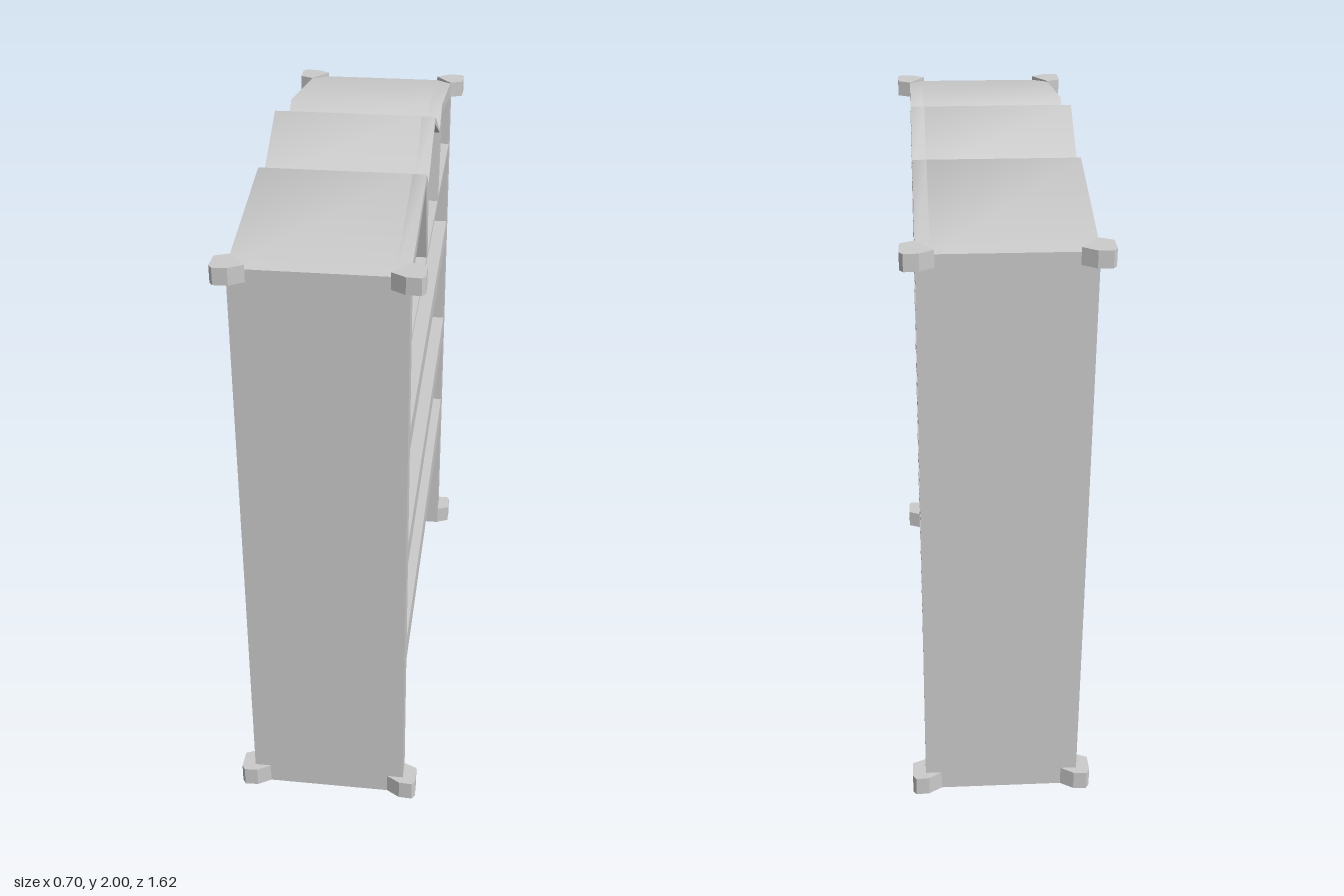
import * as THREE from 'three';
import { toCreasedNormals } from 'three/addons/utils/BufferGeometryUtils.js';

const HALF_W = 0.766, HALF_D = 0.24, WALL = 0.064, BACK = 0.05;
const INNER = HALF_W - WALL;
const PEDIMENT_Y = 1.635, RECESS = 0.04;

const toPoints = list => list.map(([x, y]) => new THREE.Vector2(x, y));

export function createModel() {
  const material = new THREE.MeshStandardMaterial({ color: 0xcccccc });
  const bookcase = new THREE.Group();
  bookcase.name = 'bookcase';

  const add = (name, geometry) => {
    const mesh = new THREE.Mesh(geometry, material);
    mesh.name = name;
    bookcase.add(mesh);
    return mesh;
  };

  // Box given by its limits on each axis
  const board = (name, x0, x1, y0, y1, z0, z1) =>
    add(name, new THREE.BoxGeometry(x1 - x0, y1 - y0, z1 - z0))
      .position.set((x0 + x1) / 2, (y0 + y1) / 2, (z0 + z1) / 2);

  // Side walls and back panel, open at the bottom
  board('rightWall', -HALF_W, -INNER, 0, PEDIMENT_Y, -HALF_D, HALF_D);
  board('leftWall', INNER, HALF_W, 0, PEDIMENT_Y, -HALF_D, HALF_D);
  board('backPanel', -INNER, INNER, 0, PEDIMENT_Y, -HALF_D, -HALF_D + BACK);

  // Shelves
  for (const [y0, y1] of [[0.507, 0.595], [0.88, 0.955], [1.28, 1.35]]) {
    board('shelf', -INNER, INNER, y0, y1, -HALF_D + BACK, HALF_D);
  }

  // Three-peaked pediment: solid body behind, pierced frame in front
  const half = [[HALF_W, PEDIMENT_Y], [HALF_W, 1.852], [0.285, 1.935], [0.215, 1.88]];
  const mirrored = half.map(([x, y]) => [-x, y]).reverse();
  const outline = toPoints([...half, [0, 2], ...mirrored]);

  const extrude = (shape, z0, z1) => {
    const g = new THREE.ExtrudeGeometry(shape, { depth: z1 - z0, bevelEnabled: false });
    g.translate(0, 0, z0);
    return toCreasedNormals(g, THREE.MathUtils.degToRad(62));
  };

  add('pedimentBody', extrude(new THREE.Shape(outline), -HALF_D, HALF_D - RECESS));

  const frame = new THREE.Shape(outline);
  const panels = [[[-0.19, 1.65], [-0.21, 1.872], [0, 1.976], [0.21, 1.872], [0.19, 1.65]]];
  for (const s of [-1, 1]) {
    panels.push([[s * INNER, 1.645], [s * 0.225, 1.65], [s * 0.292, 1.91], [s * INNER, 1.815]]);
  }
  for (const p of panels) frame.holes.push(new THREE.Path(toPoints(p)));
  add('pedimentFrame', extrude(frame, HALF_D - RECESS, HALF_D));

  // Flared corner blocks, at the feet and under the roof
  const profile = [[-0.062, 0], [-0.045, 0.04], [0.012, 0.041], [0.026, 0.031], [0.024, -0.01], [0, -0.05]];
  for (const sx of [-1, 1]) for (const sz of [-1, 1]) {
    const shape = new THREE.Shape(toPoints(
      profile.map(([u, v]) => [sx * (HALF_W + u), -sz * (HALF_D + v)])));
    for (const [name, y0, y1] of [['foot', 0, 0.065], ['topBlock', 1.815, 1.865]]) {
      const g = new THREE.ExtrudeGeometry(shape, { depth: y1 - y0, bevelEnabled: false });
      g.rotateX(-Math.PI / 2);
      g.translate(0, y0, 0);
      add(name, g);
    }
  }

  // Turn the open side towards +x, slightly off square, with a faint lean
  bookcase.rotation.y = THREE.MathUtils.degToRad(85.4);
  const model = new THREE.Group();
  model.name = 'leaningBookcase';
  model.add(bookcase);
  model.rotation.z = 0.006;
  model.position.x = 0.005;
  return model;
}
